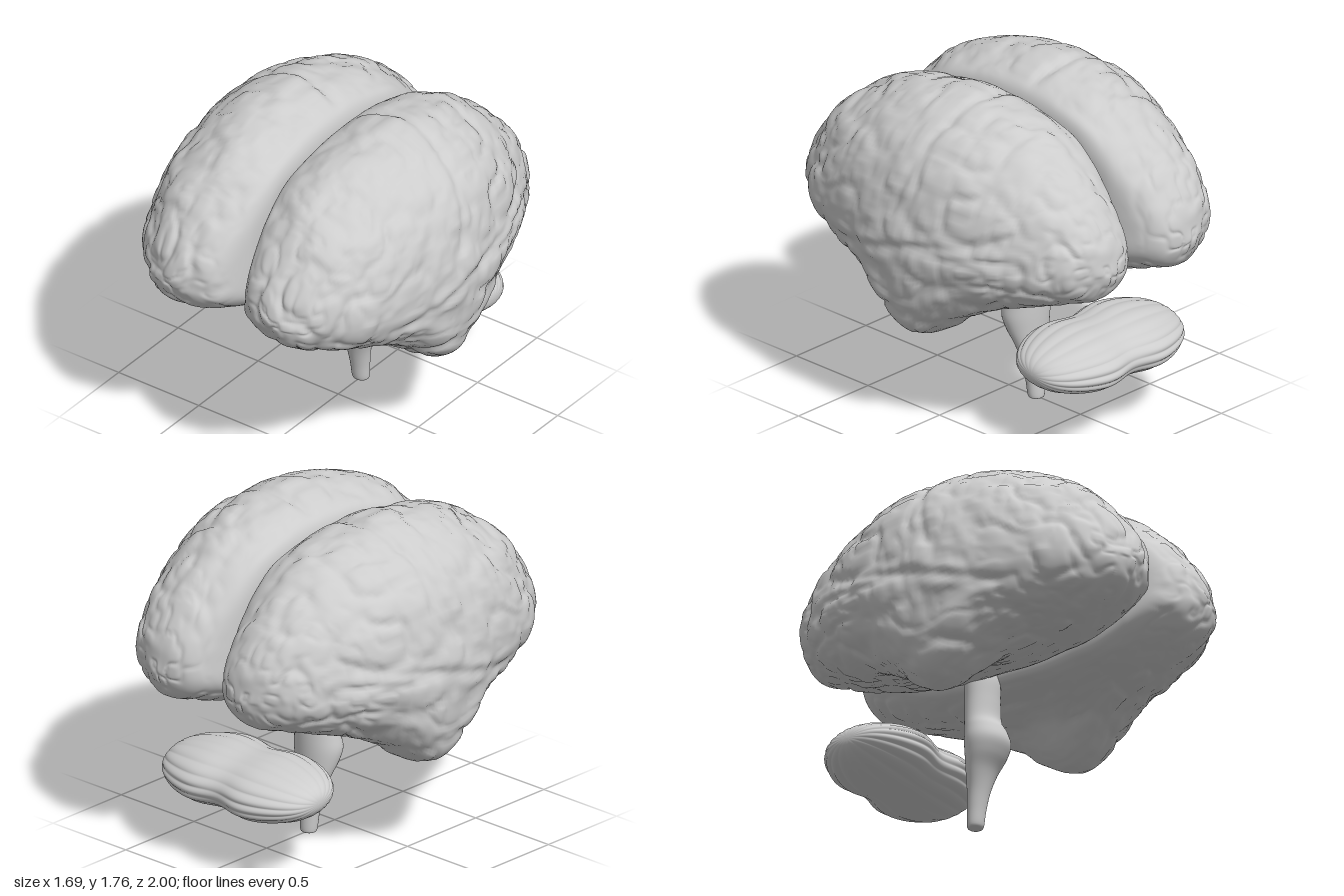
import * as THREE from 'three';

// Closed loft: fn(s, t) gives a point, s along the body 0..1, t around it 0..1
function loft(fn, rows, cols) {
  const pos = [], index = [];
  for (let i = 0; i <= rows; i++)
    for (let j = 0; j < cols; j++) pos.push(...fn(i / rows, j / cols));
  for (let i = 0; i < rows; i++)
    for (let j = 0; j < cols; j++) {
      const k = (j + 1) % cols, a = i * cols + j, b = i * cols + k;
      index.push(a, a + cols, b, b, a + cols, b + cols);
    }
  // Turn the faces outwards if the signed volume is negative
  let volume = 0;
  const p = (n) => new THREE.Vector3().fromArray(pos, n * 3);
  for (let i = 0; i < index.length; i += 3)
    volume += p(index[i]).dot(p(index[i + 1]).cross(p(index[i + 2])));
  if (volume < 0) index.reverse();
  const geo = new THREE.BufferGeometry();
  geo.setAttribute('position', new THREE.Float32BufferAttribute(pos, 3));
  geo.setIndex(index);
  geo.computeVertexNormals();
  return geo;
}

// Smooth lookup in an evenly spaced table
function table(values) {
  const curve = new THREE.SplineCurve(values.map((v, i) => new THREE.Vector2(i, v)));
  return (t) => curve.getPoint(t).y;
}

// Smooth 3D value noise, -1..1
function hash(x, y, z) {
  let h = Math.imul(x, 374761393) ^ Math.imul(y, 668265263) ^ Math.imul(z, 873357470);
  h = Math.imul(h ^ (h >>> 13), 1274126177);
  h = Math.imul(h ^ (h >>> 15), 2246822519);
  return ((h ^ (h >>> 16)) >>> 0) / 2147483648 - 1;
}
function noise(x, y, z) {
  const ix = Math.floor(x), iy = Math.floor(y), iz = Math.floor(z);
  const f = (v) => v * v * v * (v * (v * 6 - 15) + 10);
  const u = f(x - ix), v = f(y - iy), w = f(z - iz), mix = THREE.MathUtils.lerp;
  const edge = (b, c) => mix(hash(ix, iy + b, iz + c), hash(ix + 1, iy + b, iz + c), u);
  return mix(mix(edge(0, 0), edge(1, 0), v), mix(edge(0, 1), edge(1, 1), v), w);
}
const bell = (d, width) => Math.exp(-((d / width) ** 2));

// Extents of a hemisphere from front pole to back pole
const top = table([1.07, 1.28, 1.53, 1.69, 1.75, 1.69, 1.52, 1.26, 1.05]);
const bottom = table([1.07, 0.93, 0.82, 0.715, 0.495, 0.7, 0.8, 0.885, 1.05]);
const outer = table([0.3, 0.5, 0.685, 0.8, 0.845, 0.79, 0.65, 0.5, 0.28]);
const inner = table([0.3, 0.1, 0.022, 0.02, 0.02, 0.02, 0.025, 0.1, 0.28]);

// Cross-sections (inner 0 to outer 1, bottom -1 to top 1): shared dome, two undersides
const dome = [[0, 0.29], [0, 0.76], [0.1, 0.914], [0.34, 1], [0.585, 0.92], [0.785, 0.74],
  [0.905, 0.5], [0.97, 0.214], [1, 0]];
const temporal = [[0.975, -0.37], [0.95, -0.65], [0.85, -0.89], [0.68, -1], [0.54, -0.87],
  [0.41, -0.64], [0.22, -0.54], [0.06, -0.49], [0, -0.35]];
const plain = [[0.975, -0.3], [0.92, -0.55], [0.8, -0.8], [0.65, -0.93], [0.5, -0.99],
  [0.35, -1], [0.2, -0.96], [0.07, -0.85], [0, -0.6]];
// Oval used towards the rounded poles, in the same point order
const oval = dome.concat(plain).map((_, i) => {
  const a = THREE.MathUtils.degToRad(165 - 20 * i);
  return [0.5 + 0.5 * Math.cos(a), Math.sin(a)];
});
const section = (points) => new THREE.CatmullRomCurve3(
  points.map(([u, v]) => new THREE.Vector3(u, v, 0)), true, 'catmullrom', 0.5);
const temporalSection = section([...dome, ...temporal]);
const plainSection = section([...dome, ...plain]);
const ovalSection = section(oval);

// Height of the folds and grooves at a surface point
function folds(x, y, z) {
  const wx = x + 0.05 * noise(x * 5, y * 5, z * 5 + 9);
  const wy = y + 0.05 * noise(x * 5 + 7, y * 5, z * 5);
  const broad = 1 - bell(noise(wx * 7, wy * 7, z * 5.5), 0.3);
  const fine = 1 - bell(noise(wx * 15 + 3, wy * 15, z * 12), 0.3);
  let h = 0.016 * (broad - 0.7) + 0.008 * (fine - 0.65);
  if (x > 0.45) h -= 0.018 * bell(y - 1.04 + 0.25 * z, 0.03) * bell(z, 0.55);
  if (y > 1.2) h -= 0.014 * bell(z + 0.12 - 0.3 * (1.75 - y), 0.025);
  return h * THREE.MathUtils.smoothstep(x, 0.02, 0.16);
}

function hemisphere(side) {
  return loft((s, t) => {
    const z = Math.cos(s * Math.PI);
    const p = plainSection.getPoint(t).lerp(temporalSection.getPoint(t), bell(z, 0.35))
      .lerp(ovalSection.getPoint(t), 0.85 * THREE.MathUtils.smoothstep(Math.abs(z), 0.45, 0.97));
    const x0 = Math.max(0.02, inner(s));
    const x = x0 + p.x * (outer(s) - x0);
    const pole = THREE.MathUtils.lerp(1.07, 1.05, s);
    const mid = THREE.MathUtils.lerp(1.05, pole, z * z);
    const y = mid + p.y * (p.y > 0 ? top(s) - mid : mid - bottom(s));
    const n = new THREE.Vector3((x - 0.38) * 1.5, y - 1.1, z * 0.5).normalize()
      .multiplyScalar(folds(x, y, z));
    return [side * Math.max(0.018, x + n.x), y + n.y, z + n.z];
  }, 160, 140);
}

// Two-lobed body with rounded ridges running from tip to tip
function cerebellum() {
  return loft((s, t) => {
    const a = s * Math.PI, x = 0.495 * Math.cos(a), th = t * Math.PI * 2;
    const waist = bell(x, 0.13);
    const ridge = 0.045 * (Math.abs(Math.cos(th * 9 + 0.4 * Math.sin(th))) - 0.7);
    const r = Math.sin(a) ** 0.8 * (1 + ridge * (1 - 0.5 * waist));
    const dy = Math.sin(th) * 0.15 * r * (1 - 0.12 * waist);
    const dz = Math.cos(th) * 0.298 * r * (1 - 0.17 * waist);
    return [x, 0.427 + dy + 0.12 * dz, -0.638 + dz - 0.12 * dy];
  }, 64, 216);
}

// Stem stations: height, half width, front z, back z
const stations = [[0, 0.035, -0.165, -0.225], [0.015, 0.046, -0.15, -0.232], [0.1, 0.054, -0.138, -0.23],
  [0.2, 0.07, -0.118, -0.226], [0.3, 0.1, -0.085, -0.224], [0.38, 0.125, -0.035, -0.225],
  [0.45, 0.136, -0.008, -0.228], [0.52, 0.125, -0.028, -0.23], [0.58, 0.114, -0.06, -0.23],
  [0.68, 0.108, -0.065, -0.23], [0.78, 0.106, -0.065, -0.23], [0.83, 0.09, -0.075, -0.22]];
function brainstem() {
  const [height, width, front, back] = [0, 1, 2, 3].map((c) => table(stations.map((k) => k[c])));
  const rows = 60;
  return loft((s, t) => {
    const q = THREE.MathUtils.clamp((s * rows - 1) / (rows - 2), 0, 1);
    const cap = s === 0 || s === 1 ? 0 : 1; // end rings close to a point
    const th = t * Math.PI * 2, f = front(q), b = back(q);
    return [cap * width(q) * Math.cos(th), Math.max(0, height(q)),
      (f + b) / 2 + cap * (f - b) / 2 * Math.sin(th)];
  }, rows, 40);
}

export function createModel() {
  const tissue = new THREE.MeshStandardMaterial({ color: 0xcccccc });
  tissue.name = 'pale grey tissue';
  const model = new THREE.Group();
  model.name = 'brain';
  const add = (name, geo) => {
    const mesh = new THREE.Mesh(geo, tissue);
    mesh.name = name;
    model.add(mesh);
  };
  add('leftHemisphere', hemisphere(1));
  add('rightHemisphere', hemisphere(-1));
  add('cerebellum', cerebellum());
  add('brainstem', brainstem());
  return model;
}
